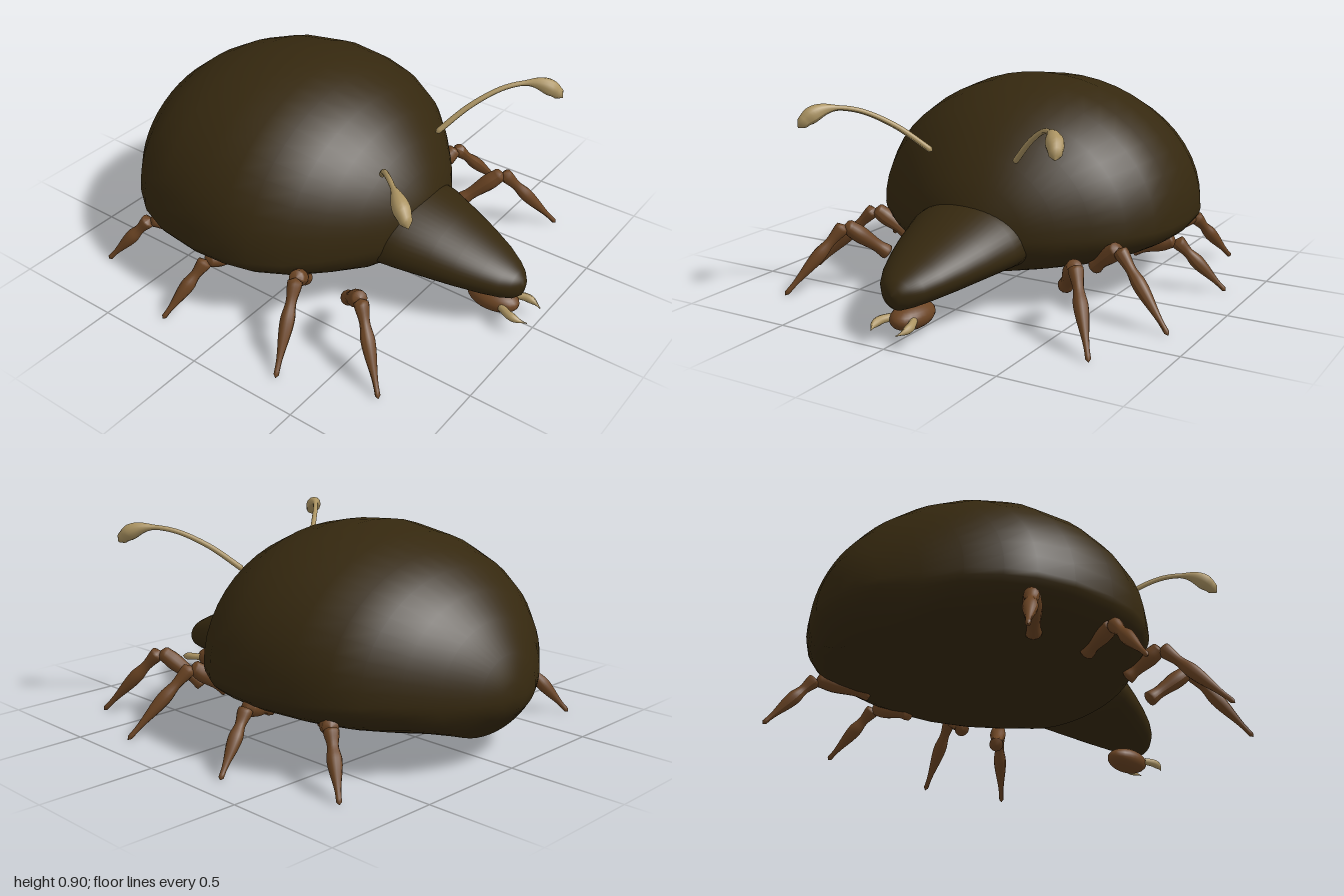
import * as THREE from 'three';

const flat = (name, color) => Object.assign(new THREE.MeshStandardMaterial({ color }), { name });
const V = (x, y, z) => new THREE.Vector3(x, y, z);

// Skin over cross-sections along x: [x, halfWidth, topY, midY, bottomY]
function loft(sections, sides = 48) {
  const pos = [], idx = [];
  sections.forEach(([x, w, top, mid, bottom]) => {
    for (let j = 0; j < sides; j++) {
      const a = (j / sides) * Math.PI * 2, c = Math.cos(a);
      pos.push(x, mid + c * (c > 0 ? top - mid : mid - bottom), w * Math.sin(a));
    }
  });
  for (let i = 0; i < sections.length - 1; i++) {
    for (let j = 0; j < sides; j++) {
      const a = i * sides + j, b = i * sides + (j + 1) % sides;
      idx.push(a, b, a + sides, b, b + sides, a + sides);
    }
  }
  const g = new THREE.BufferGeometry();
  g.setAttribute('position', new THREE.Float32BufferAttribute(pos, 3));
  g.setIndex(idx);
  g.computeVertexNormals();
  return g;
}

// Tube along points whose radius follows stops [t, radius]
function taper(points, stops, segments = 28, sides = 12) {
  const curve = points.length === 2 ? new THREE.LineCurve3(...points) : new THREE.CatmullRomCurve3(points);
  const g = new THREE.TubeGeometry(curve, segments, 1, sides);
  const p = g.attributes.position, v = V(0, 0, 0);
  for (let i = 0; i <= segments; i++) {
    const t = i / segments, c = curve.getPointAt(t);
    let k = 0;
    while (k < stops.length - 2 && t > stops[k + 1][0]) k++;
    const [t0, r0] = stops[k], [t1, r1] = stops[k + 1];
    const r = THREE.MathUtils.lerp(r0, r1, THREE.MathUtils.smoothstep(t, t0, t1));
    for (let j = 0; j <= sides; j++) {
      const n = i * (sides + 1) + j;
      v.fromBufferAttribute(p, n).sub(c).multiplyScalar(r).add(c);
      p.setXYZ(n, v.x, v.y, v.z);
    }
  }
  g.computeVertexNormals();
  return g;
}

export function createModel() {
  const model = new THREE.Group();
  model.name = 'beetle';
  const shell = flat('dark shell', 0x35280f);
  const brown = flat('leg brown', 0x6b4423);
  const tan = flat('pale horn', 0xac9462);
  const add = (name, geometry, material, parent = model) => {
    const m = new THREE.Mesh(geometry, material);
    m.name = name;
    parent.add(m);
    return m;
  };

  // Domed body with a shallow belly
  add('body', loft([
    [-1, 0, 0.3, 0.3, 0.3], [-1, 0.08, 0.36, 0.3, 0.25], [-0.97, 0.18, 0.47, 0.3, 0.21],
    [-0.89, 0.32, 0.59, 0.31, 0.125], [-0.8, 0.45, 0.69, 0.32, 0.135], [-0.7, 0.56, 0.77, 0.32, 0.13],
    [-0.6, 0.635, 0.825, 0.32, 0.125], [-0.45, 0.695, 0.88, 0.32, 0.123], [-0.25, 0.72, 0.91, 0.32, 0.12],
    [-0.1, 0.71, 0.897, 0.32, 0.12], [0.02, 0.68, 0.87, 0.32, 0.12], [0.15, 0.605, 0.81, 0.32, 0.125],
    [0.25, 0.5, 0.735, 0.32, 0.133], [0.34, 0.385, 0.645, 0.32, 0.145], [0.41, 0.275, 0.55, 0.32, 0.19],
    [0.46, 0.14, 0.45, 0.32, 0.25], [0.48, 0, 0.33, 0.33, 0.33],
  ]), shell);

  // Tapering head
  add('head', loft([
    [0.33, 0, 0.28, 0.28, 0.28], [0.33, 0.29, 0.47, 0.28, 0.16], [0.46, 0.265, 0.45, 0.275, 0.158],
    [0.6, 0.222, 0.398, 0.26, 0.15], [0.7, 0.187, 0.36, 0.245, 0.145], [0.8, 0.145, 0.318, 0.23, 0.14],
    [0.87, 0.105, 0.285, 0.215, 0.138], [0.91, 0.07, 0.262, 0.21, 0.14], [0.935, 0.035, 0.24, 0.205, 0.16],
    [0.943, 0, 0.205, 0.205, 0.205],
  ]), shell);

  // Mouth under the snout
  const mouth = add('mouth', new THREE.SphereGeometry(1, 24, 16), brown);
  mouth.scale.set(0.12, 0.053, 0.072);
  mouth.position.set(0.805, 0.088, 0);

  // Legs: [name, hip, knee, foot] on the +z side
  const legs = [
    ['frontLeg', [0.36, 0.15, 0.44], [0.51, 0.3, 0.56], [0.723, 0.012, 0.73]],
    ['foreMiddleLeg', [0.16, 0.18, 0.47], [0.225, 0.3, 0.61], [0.328, 0.012, 0.88]],
    ['hindMiddleLeg', [-0.15, 0.18, 0.5], [-0.205, 0.235, 0.68], [-0.285, 0.012, 0.888]],
    ['hindLeg', [-0.42, 0.18, 0.46], [-0.605, 0.235, 0.61], [-0.772, 0.012, 0.733]],
  ];

  for (const s of [1, -1]) {
    const side = s > 0 ? 'Right' : 'Left';
    const at = ([x, y, z]) => V(x, y, z * s);

    for (const [name, hip, knee, foot] of legs) {
      const leg = new THREE.Group();
      leg.name = name + side;
      model.add(leg);
      add('thigh', taper([at(hip), at(knee)],
        [[0, 0], [0.04, 0.034], [0.25, 0.028], [0.7, 0.038], [0.95, 0.033], [1, 0]]), brown, leg);
      add('shin', taper([at(knee), at(foot)],
        [[0, 0], [0.04, 0.032], [0.25, 0.022], [0.42, 0.03], [0.9, 0.011], [0.97, 0.011], [1, 0]]), brown, leg);
    }

    // Curved antenna with a swollen club
    add('antenna' + side, taper([
      [0.355, 0.635, 0.2], [0.45, 0.75, 0.325], [0.55, 0.82, 0.44],
      [0.64, 0.832, 0.525], [0.7, 0.805, 0.57], [0.745, 0.762, 0.595],
    ].map(at), [[0, 0], [0.02, 0.013], [0.68, 0.011], [0.88, 0.036], [0.96, 0.026], [1, 0]], 48), tan);

    // Small inward-curving jaw
    add('jaw' + side, taper([
      [0.87, 0.092, 0.05], [0.92, 0.09, 0.072], [0.96, 0.083, 0.073], [1, 0.075, 0.058],
    ].map(at), [[0, 0.016], [0.5, 0.018], [1, 0.002]], 14), tan);
  }
  return model;
}
